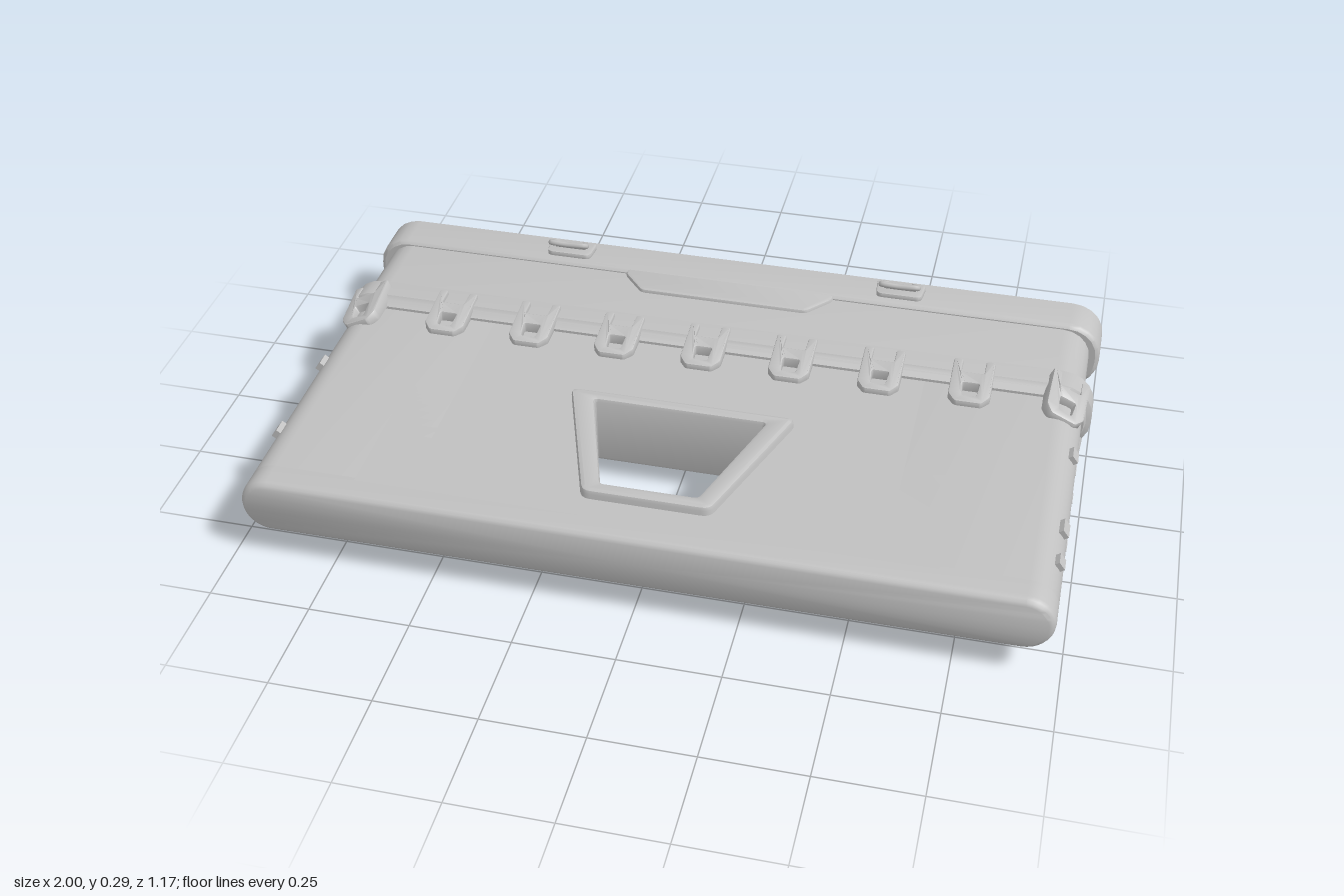
import * as THREE from 'three';
import { toCreasedNormals } from 'three/addons/utils/BufferGeometryUtils.js';

const MID = 0.1455; // height of the horizontal mirror plane
const grey = new THREE.MeshStandardMaterial({ color: 0xc0c0c0 });
grey.name = 'plain grey';

function add(parent, name, geo) {
  const mesh = new THREE.Mesh(geo, grey);
  mesh.name = name;
  parent.add(mesh);
  return mesh;
}

// Loft of rounded slab sections along z; each section is [z, halfWidth, halfHeight, cornerRadius]
function loft(sections, seg = 8) {
  const pos = [], idx = [], n = 4 * (seg + 1);
  for (const [z, w, h, r] of sections) {
    for (let q = 0; q < 4; q++) {
      const cx = (q === 0 || q === 3 ? 1 : -1) * (w - r);
      const cy = (q < 2 ? 1 : -1) * (h - r);
      for (let s = 0; s <= seg; s++) {
        const a = (q + s / seg) * Math.PI / 2;
        pos.push(cx + r * Math.cos(a), cy + r * Math.sin(a), z);
      }
    }
  }
  const last = sections.length - 1;
  const c0 = pos.length / 3, c1 = c0 + 1;
  pos.push(0, 0, sections[0][0], 0, 0, sections[last][0]);
  for (let j = 0; j < n; j++) {
    const k = (j + 1) % n;
    for (let i = 0; i < last; i++) {
      const a = i * n + j, b = i * n + k;
      idx.push(a, b, b + n, a, b + n, a + n);
    }
    idx.push(c0, k, j, c1, last * n + j, last * n + k);
  }
  const g = new THREE.BufferGeometry();
  g.setAttribute('position', new THREE.Float32BufferAttribute(pos, 3));
  g.setIndex(idx);
  return toCreasedNormals(g, 0.6);
}

// Closed outline in (x, z) with softened corners
function outline(points, r, Type = THREE.Shape) {
  const s = new Type(), p = points.map(([x, y]) => new THREE.Vector2(x, y));
  p.forEach((c, i) => {
    const toward = (o) => c.clone().add(o.clone().sub(c).setLength(r));
    const a = toward(p[(i + p.length - 1) % p.length]);
    const b = toward(p[(i + 1) % p.length]);
    if (i === 0) s.moveTo(a.x, a.y); else s.lineTo(a.x, a.y);
    s.quadraticCurveTo(c.x, c.y, b.x, b.y);
  });
  s.closePath();
  return s;
}

// Symmetric trapezoid corners
const trapezoid = (z0, w0, z1, w1) => [[-w0, z0], [w0, z0], [w1, z1], [-w1, z1]];

// Extrude an (x, z) outline upward from y0 to y1 with bevel b
function plate(shape, y0, y1, b = 0) {
  const g = new THREE.ExtrudeGeometry(shape, {
    depth: y1 - y0 - 2 * b, curveSegments: 4, bevelEnabled: b > 0,
    bevelThickness: b, bevelSize: b, bevelOffset: -b, bevelSegments: 2,
  });
  g.rotateX(Math.PI / 2);
  g.translate(0, y1 - b, 0);
  return toCreasedNormals(g, 0.6);
}

// Forked clip that slopes down toward its tongue
function clipGeometry() {
  const shape = outline([[-0.053, -0.255], [-0.029, -0.255], [-0.029, -0.2], [0.029, -0.2], [0.029, -0.255],
    [0.053, -0.255], [0.053, -0.125], [0.034, -0.1], [-0.034, -0.1], [-0.053, -0.125]], 0.006);
  shape.holes.push(outline(trapezoid(-0.165, 0.022, -0.122, 0.018), 0.006, THREE.Path));
  const g = plate(shape, 0.062, 0.108, 0.004);
  const p = g.attributes.position;
  for (let i = 0; i < p.count; i++) {
    const t = THREE.MathUtils.clamp((p.getZ(i) + 0.2) / 0.1, 0, 1);
    if (p.getY(i) > 0.085) p.setY(i, p.getY(i) - 0.02 * t);
  }
  return toCreasedNormals(g, 0.6);
}

// Raised latch: base plate, bent bail and pivot bar
function latch() {
  const g = new THREE.Group();
  g.name = 'latch';
  add(g, 'latchBase', plate(outline([[-0.067, -0.565], [0.067, -0.565], [0.06, -0.5], [-0.06, -0.5]], 0.015), 0.09, 0.11, 0.004));
  const bail = [[-0.034, 0.1, -0.545], [-0.036, 0.122, -0.532], [-0.046, 0.128, -0.518], [-0.048, 0.1375, -0.503],
    [0, 0.1375, -0.5], [0.048, 0.1375, -0.503], [0.046, 0.128, -0.518], [0.036, 0.122, -0.532], [0.034, 0.1, -0.545]];
  const path = new THREE.CatmullRomCurve3(bail.map((v) => new THREE.Vector3(...v)));
  add(g, 'latchBail', new THREE.TubeGeometry(path, 40, 0.008, 8));
  const bar = new THREE.CylinderGeometry(0.011, 0.011, 0.085, 10);
  bar.rotateZ(Math.PI / 2);
  bar.translate(0, 0.115, -0.535);
  add(g, 'pivotBar', bar);
  return g;
}

export function createModel() {
  const model = new THREE.Group();
  model.name = 'flatCase';
  const core = new THREE.Group();
  core.name = 'case';
  core.position.y = MID;
  model.add(core);

  // Main body: pierced middle, two rounded sides and a softened front lip
  const middle = outline(trapezoid(-0.22, 0.7, 0.52, 0.7), 0.001);
  middle.holes.push(outline(trapezoid(0.09, 0.25, 0.44, 0.138), 0.01, THREE.Path));
  add(core, 'bodyMiddle', plate(middle, -0.073, 0.073));
  for (const s of [-1, 1]) {
    const side = loft([[-0.22, 0.2375, 0.073, 0.072], [0.51, 0.2375, 0.073, 0.072]]);
    add(core, 'bodySide', side).position.x = s * 0.7375;
  }
  add(core, 'bodyFrontLip', loft([[0.51, 0.975, 0.073, 0.072], [0.562, 0.975, 0.073, 0.072],
    [0.573, 0.973, 0.071, 0.07], [0.581, 0.968, 0.066, 0.065], [0.585, 0.96, 0.058, 0.057]]));

  // Window frame lining the opening right through the body
  const frame = outline(trapezoid(0.072, 0.288, 0.46, 0.156), 0.022);
  frame.holes.push(outline(trapezoid(0.108, 0.218, 0.422, 0.118), 0.01, THREE.Path));
  add(core, 'windowFrame', plate(frame, -0.098, 0.098, 0.011));

  // Collar, neck and rear cap
  add(core, 'collar', loft([[-0.282, 0.99, 0.09, 0.08], [-0.274, 0.998, 0.097, 0.086],
    [-0.213, 0.998, 0.097, 0.086], [-0.205, 0.985, 0.088, 0.08], [-0.183, 0.98, 0.08, 0.074]], 5));
  add(core, 'neck', loft([[-0.49, 0.972, 0.085, 0.075], [-0.27, 0.972, 0.085, 0.075]], 5));
  add(core, 'rearCap', loft([[-0.585, 1, 0.0975, 0.086], [-0.489, 1, 0.0975, 0.086],
    [-0.481, 0.997, 0.095, 0.084], [-0.475, 0.989, 0.088, 0.078]], 5));

  // Finger tab on the neck, both faces
  const tab = [[-0.285, -0.5], [0.285, -0.5], [0.285, -0.465], [0.225, -0.395], [-0.225, -0.395], [-0.285, -0.465]];
  add(core, 'fingerTab', plate(outline(tab, 0.012), -0.095, 0.095, 0.008));

  // Clips and latches, repeated on the underside
  const clip = clipGeometry();
  for (const turn of [0, Math.PI]) {
    const face = new THREE.Group();
    face.name = turn ? 'undersideFittings' : 'topFittings';
    face.rotation.z = turn;
    core.add(face);
    for (let i = -4; i <= 4; i++) {
      const m = add(face, 'clip', clip);
      m.position.x = i * 0.23;
      if (Math.abs(i) === 4) { // end clips lean over the rounded corner
        const s = Math.sign(i), a = 0.45;
        m.rotation.z = -s * a;
        m.position.set(s * (0.93 - 0.09 * Math.sin(a)), 0.079 - 0.09 * Math.cos(a), 0);
      }
    }
    for (const x of [-0.457, 0.457]) {
      const l = latch();
      l.position.x = x;
      face.add(l);
    }
  }

  // Small studs along the rounded sides: [side, z, up or down, length]
  const studs = [[1, 0.405, 1, 0.035], [1, 0.285, 1, 0.045], [1, 0.005, 1, 0.038], [1, 0.24, -1, 0.04],
    [1, 0.06, -1, 0.042], [1, -0.05, -1, 0.038], [-1, 0.345, 1, 0.04], [-1, 0.055, 1, 0.038],
    [-1, 0.22, -1, 0.038], [-1, -0.005, -1, 0.036]];
  for (const [s, z, v, len] of studs) {
    const m = add(core, 'sideStud', new THREE.BoxGeometry(0.026, 0.024, len));
    m.position.set(s * 0.96, v * 0.043, z);
    m.rotation.z = s * v * 0.63;
  }
  return model;
}
